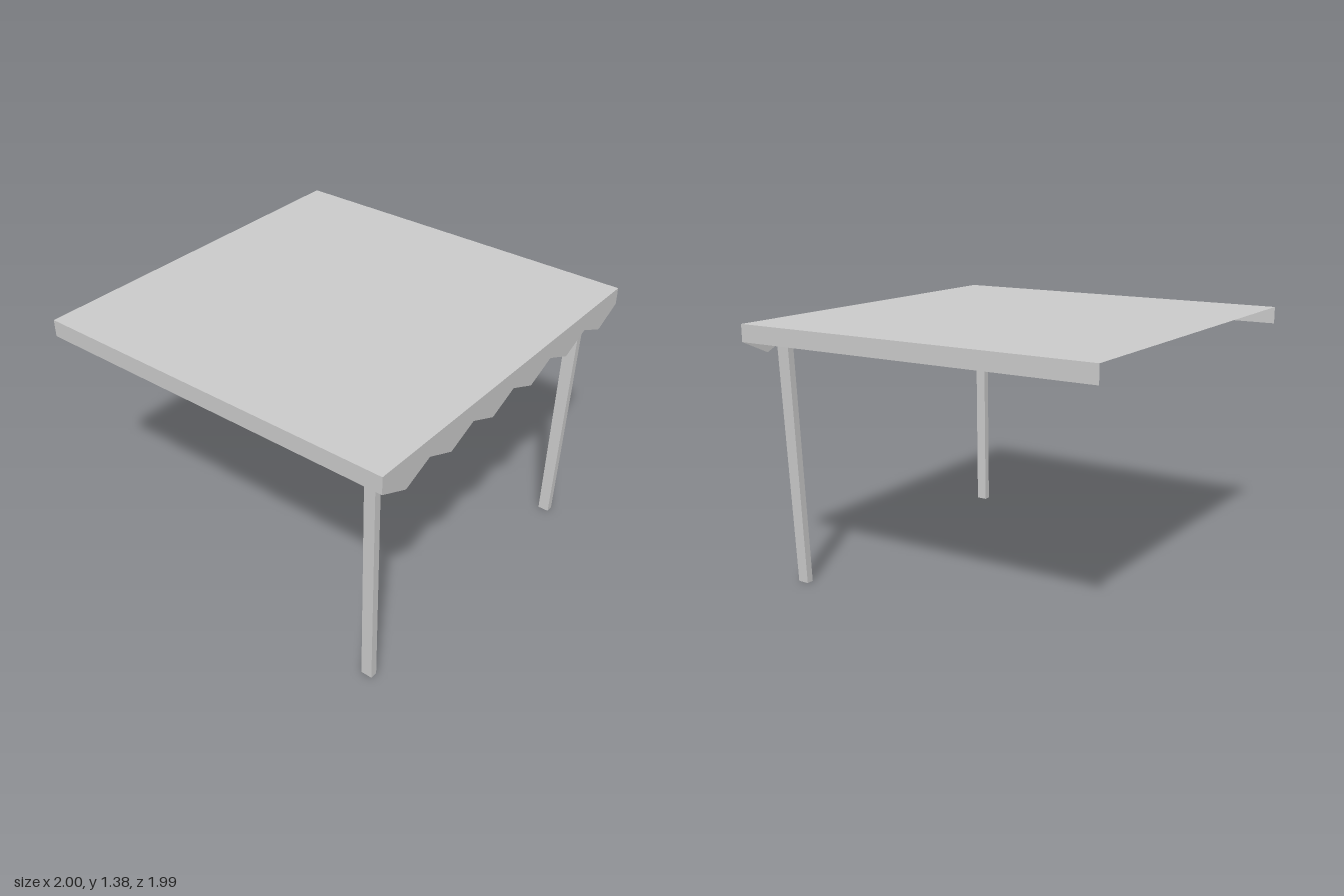
import * as THREE from 'three';

const ROOF_Y = 1.38, HEM_Y = 1.29;

export function createModel() {
  const group = new THREE.Group();
  const cloth = new THREE.MeshStandardMaterial({ color: 0xcccccc, side: THREE.DoubleSide, flatShading: true });
  const wood = new THREE.MeshStandardMaterial({ color: 0xcccccc, flatShading: true });

  function add(name, geometry, material) {
    const mesh = new THREE.Mesh(geometry, material);
    mesh.name = name;
    group.add(mesh);
  }

  // Flat canopy sheet
  add('canopyRoof', new THREE.PlaneGeometry(2, 1.99).rotateX(-Math.PI / 2).translate(0, ROOF_Y, 0), cloth);

  // Straight side flaps; the back stays open
  for (const side of [-1, 1]) {
    const flap = new THREE.PlaneGeometry(1.99, ROOF_Y - HEM_Y).rotateY(side * Math.PI / 2);
    flap.translate(side, (ROOF_Y + HEM_Y) / 2, 0);
    add(side > 0 ? 'leftFlap' : 'rightFlap', flap, cloth);
  }

  // Front valance with six pointed scallops
  const teeth = 6, pitch = 2 / teeth;
  const valance = new THREE.Shape();
  valance.moveTo(-1, ROOF_Y);
  valance.lineTo(-1, HEM_Y);
  for (let i = 0; i < teeth; i++) {
    const x = -1 + i * pitch;
    valance.lineTo(x + pitch / 2, 1.215);
    valance.lineTo(x + pitch, i === teeth - 1 ? HEM_Y : 1.285);
  }
  valance.lineTo(1, ROOF_Y);
  add('frontValance', new THREE.ShapeGeometry(valance).translate(0, 0, 0.995), cloth);

  // Post between two end rectangles, each given as [centre x, y, centre z, depth]
  function post(name, bottom, top) {
    const geometry = new THREE.BoxGeometry(0.038, 1, 1);
    const p = geometry.attributes.position;
    for (let i = 0; i < p.count; i++) {
      const [x, y, z, depth] = p.getY(i) > 0 ? top : bottom;
      p.setXYZ(i, p.getX(i) + x, y, p.getZ(i) * depth + z);
    }
    geometry.computeVertexNormals();
    add(name, geometry, wood);
  }
  post('rightPost', [-0.85, 0.03, 0.835, 0.06], [-0.85, ROOF_Y - 0.005, 0.835, 0.06]);
  post('leftPost', [0.795, 0, 0.85, 0.06], [0.844, ROOF_Y - 0.005, 0.865, 0.072]);

  return group;
}
